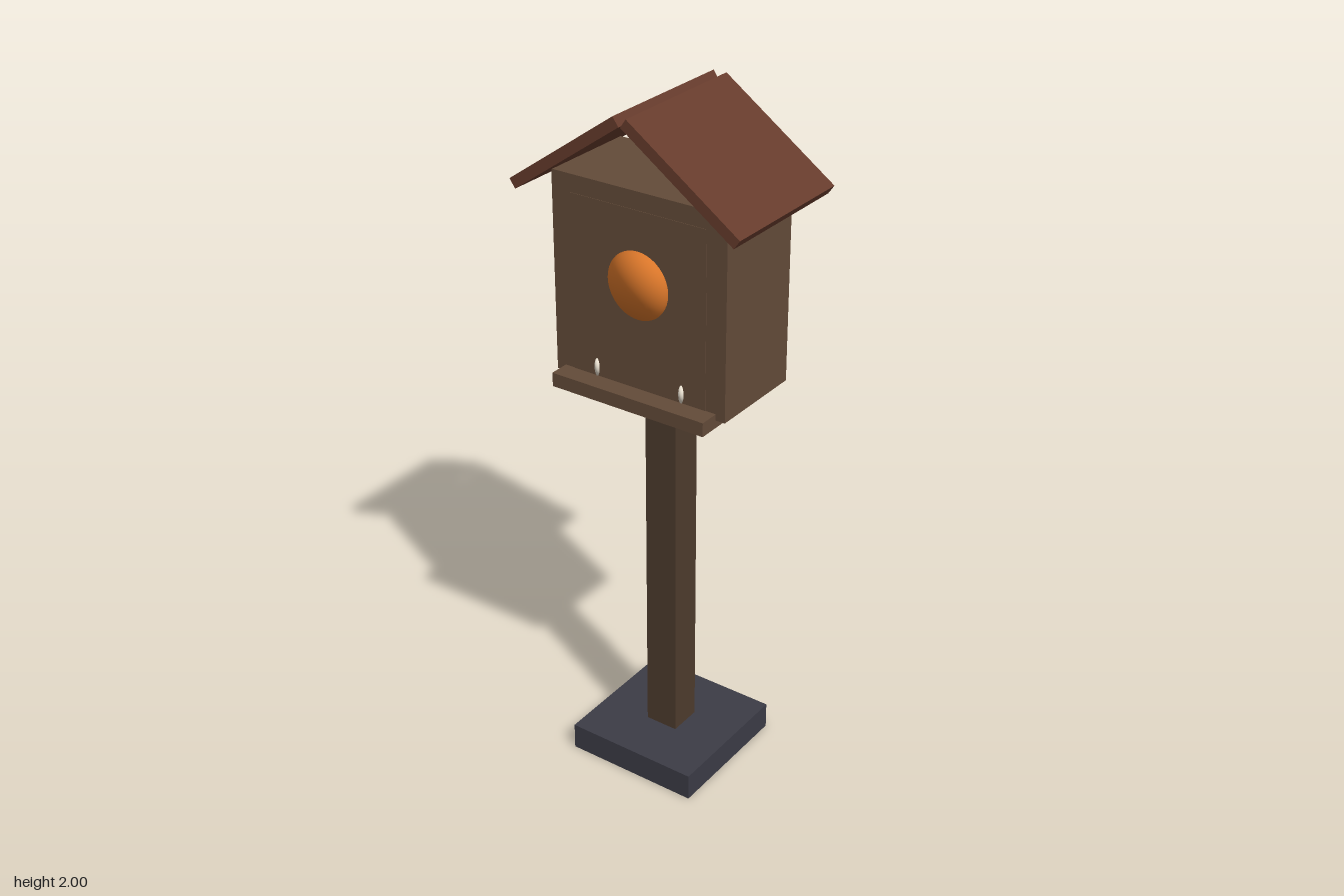
import * as THREE from 'three';

const paint = (color) => new THREE.MeshStandardMaterial({ color });

export function createModel() {
  const model = new THREE.Group();
  model.name = 'birdhouse';

  const stone = paint(0x3c3c46);
  const postWood = paint(0x4d3b2d);
  const wallWood = paint(0x634b39);
  const roofWood = paint(0x663b2c);
  const orange = paint(0xd9762a);
  const cream = paint(0xe8dfcf);

  const add = (name, geometry, material, x, y, z) => {
    const mesh = new THREE.Mesh(geometry, material);
    mesh.name = name;
    mesh.position.set(x, y, z);
    model.add(mesh);
    return mesh;
  };
  // Box given by its bottom and top heights
  const block = (name, material, w, d, y0, y1, z = 0) =>
    add(name, new THREE.BoxGeometry(w, y1 - y0, d), material, 0, (y0 + y1) / 2, z);

  // Ball pressed flat against the wall, keeping its round shading
  const flatBall = (rx, ry, rz) => {
    const geometry = new THREE.SphereGeometry(1, 32, 20);
    const p = geometry.attributes.position;
    for (let i = 0; i < p.count; i++) p.setXYZ(i, p.getX(i) * rx, p.getY(i) * ry, p.getZ(i) * rz);
    return geometry;
  };

  // Stand
  block('base', stone, 0.41, 0.41, 0, 0.08);
  block('post', postWood, 0.1, 0.1, 0.002, 1.2);

  // House box, with a floor that runs out into a front ledge
  block('house', wallWood, 0.54, 0.292, 1.222, 1.79);
  block('floorLedge', wallWood, 0.484, 0.349, 1.2, 1.24, 0.03);
  block('frontPanel', wallWood, 0.42, 0.01, 1.24, 1.74, 0.1425);

  // Round entrance and two small pegs
  add('entrance', flatBall(0.095, 0.095, 0.007), orange, 0, 1.535, 0.1475);
  for (const side of [-1, 1]) {
    add('peg', flatBall(0.008, 0.026, 0.006), cream, side * 0.135, 1.265, 0.1475);
  }

  // Two sloping roof boards that meet at the ridge
  for (const side of [-1, 1]) {
    const board = add('roofBoard', new THREE.BoxGeometry(0.404, 0.03, 0.432), roofWood, side * 0.1765, 1.872, 0);
    board.rotation.z = -side * THREE.MathUtils.degToRad(35);
  }

  return model;
}
